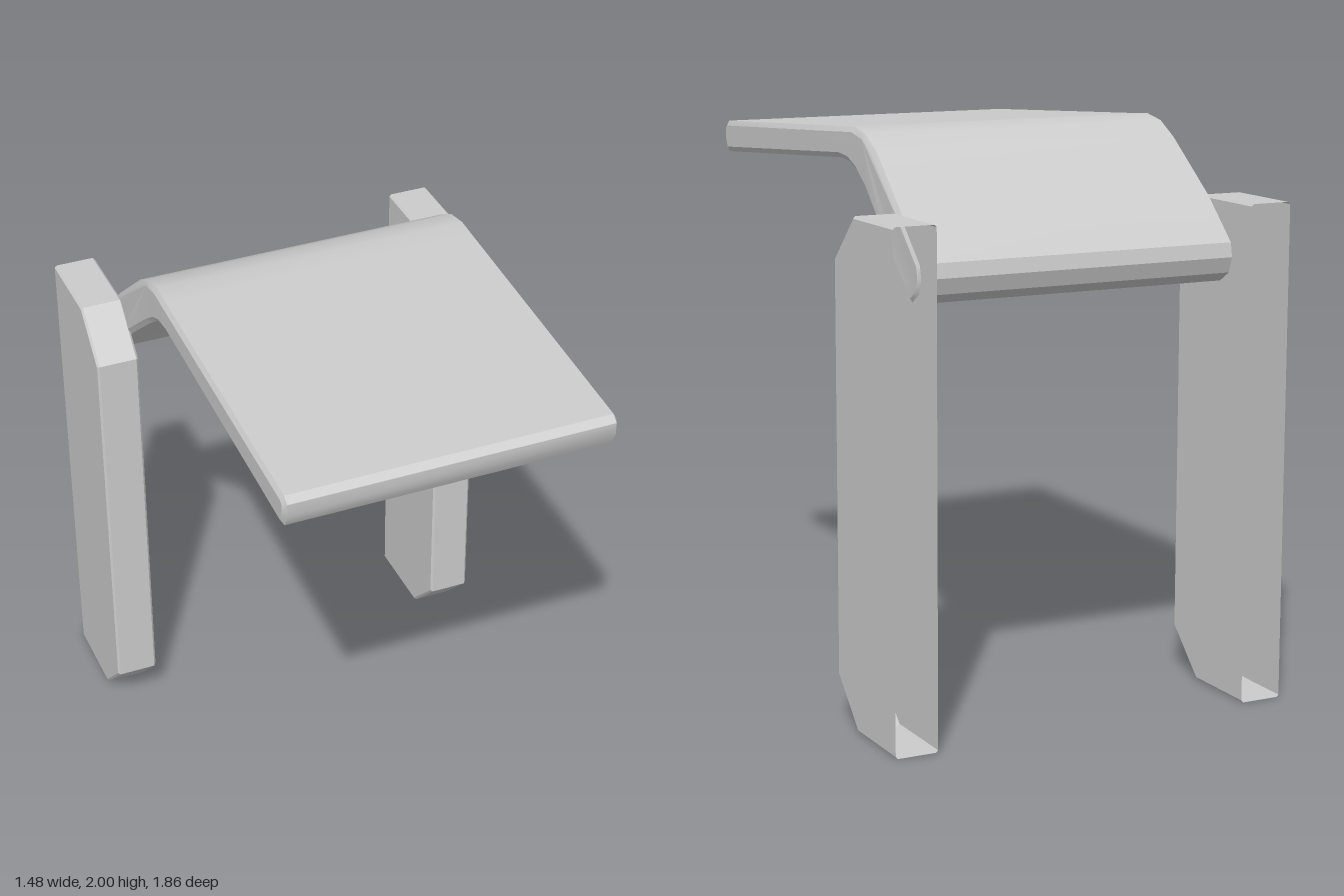
import * as THREE from 'three';
import { toCreasedNormals } from 'three/addons/utils/BufferGeometryUtils.js';

const material = new THREE.MeshStandardMaterial({ color: 0xcccccc, side: THREE.DoubleSide });

// Extrudes a [z, y] side profile across x, centred, with a single edge bevel
function extrudeProfile(points, width, bevelThickness, bevelSize) {
  const shape = new THREE.Shape(points.map(([z, y]) => new THREE.Vector2(z, y)));
  const geometry = new THREE.ExtrudeGeometry(shape, {
    depth: width - 2 * bevelThickness,
    bevelThickness, bevelSize, bevelOffset: -bevelSize, bevelSegments: 1,
  });
  geometry.translate(0, 0, bevelThickness - width / 2);
  return geometry.rotateY(-Math.PI / 2);
}

// Bent slab: nearly level at the front, sloping down between the legs
function seatGeometry() {
  const geometry = extrudeProfile([
    [0.905, 1.81], [0.93, 1.86], [0.93, 1.905], [0.905, 1.925],
    [-0.16, 1.993], [-0.26, 2.0], [-0.35, 1.983], [-0.44, 1.932],
    [-0.66, 1.75], [-0.81, 1.605], [-0.82, 1.555], [-0.80, 1.50],
    [-0.745, 1.465], [-0.69, 1.515],
    [-0.53, 1.66], [-0.36, 1.80], [-0.28, 1.856], [-0.22, 1.88], [-0.15, 1.886],
  ], 1.164, 0.012, 0.018);
  // The rear end widens slightly to enter the legs
  const p = geometry.attributes.position;
  for (let i = 0; i < p.count; i++) {
    if (p.getZ(i) < -0.5) p.setX(i, p.getX(i) * 1.02);
  }
  return toCreasedNormals(geometry, 0.5);
}

// Chamfered upright, hollow and open at the back
function legGeometry() {
  const back = -0.93;
  const source = extrudeProfile([
    [-1, 0.004], [-0.625, 0.004], [-0.465, 0.164],
    [-0.465, 1.592], [-0.622, 1.748], [-1, 1.748],
  ], 0.153, 0.008, 0.008);
  const p = source.attributes.position;
  const kept = [];
  for (let i = 0; i < p.count; i += 3) {
    const corners = [i, i + 1, i + 2].map((k) => [p.getX(k), p.getY(k), Math.max(p.getZ(k), back)]);
    if (corners.some((c) => c[2] > back + 0.001)) kept.push(...corners.flat());
  }
  const geometry = new THREE.BufferGeometry();
  geometry.setAttribute('position', new THREE.Float32BufferAttribute(kept, 3));
  return toCreasedNormals(geometry, 0.5);
}

export function createModel() {
  const model = new THREE.Group();
  model.name = 'bentSeatOnTwoLegs';

  const seat = new THREE.Mesh(seatGeometry(), material);
  seat.name = 'seat';
  model.add(seat);

  // Pair of legs
  const geometry = legGeometry();
  for (const side of [1, -1]) {
    const leg = new THREE.Mesh(geometry, material);
    leg.name = side > 0 ? 'leftLeg' : 'rightLeg';
    leg.position.x = side * 0.662;
    model.add(leg);
  }
  return model;
}
